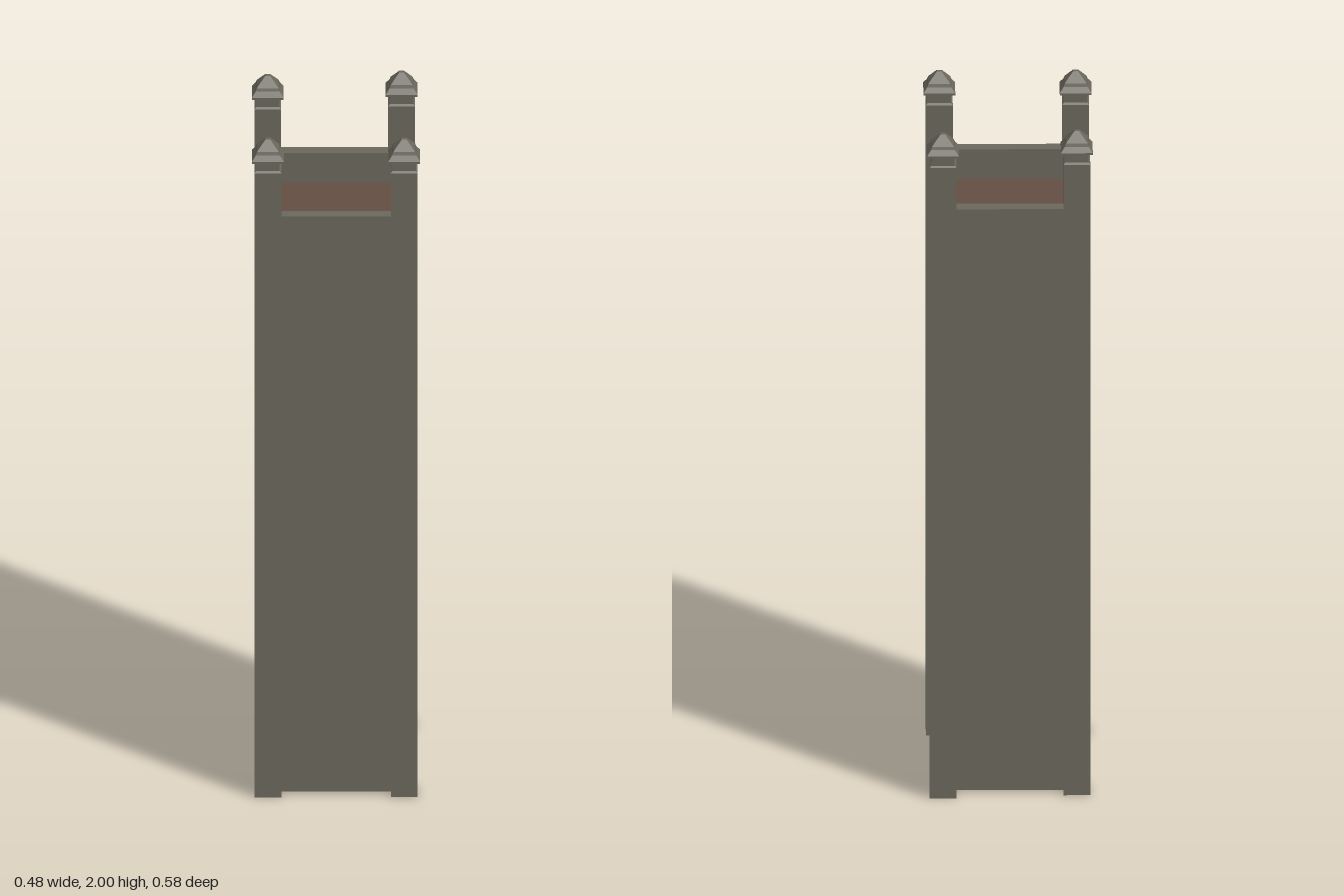
import * as THREE from 'three';

export function createModel() {
  const model = new THREE.Group();
  const stone = new THREE.MeshStandardMaterial({ color: 0x6a675c, flatShading: true });
  stone.name = 'stone';
  const clay = new THREE.MeshStandardMaterial({ color: 0x634d42 });
  clay.name = 'brown floor';

  // Box given by its minimum and maximum corners
  const slab = (name, [x0, y0, z0], [x1, y1, z1], material = stone) => {
    const mesh = new THREE.Mesh(new THREE.BoxGeometry(x1 - x0, y1 - y0, z1 - z0), material);
    mesh.position.set((x0 + x1) / 2, (y0 + y1) / 2, (z0 + z1) / 2);
    mesh.name = name;
    model.add(mesh);
  };

  // Tower body, with the parapet open on the right-hand (-x) side
  slab('towerCore', [-0.21, 0.01, -0.21], [0.2, 1.675, 0.23]);
  slab('roofFloor', [-0.21, 1.675, -0.21], [0.16, 1.68, 0.23], clay);
  slab('frontWall', [-0.17, 0.01, 0.221], [0.17, 1.77, 0.263]);
  slab('backWall', [-0.17, 0.01, -0.245], [0.17, 1.77, -0.201]);
  slab('leftParapet', [0.155, 1.675, -0.21], [0.198, 1.77, 0.23]);

  // Square corner post: half width and height of each step
  const profile = [
    [0, 0], [0.038, 0], [0.038, 1.91], [0.033, 1.915], [0.033, 1.94], [0.045, 1.942],
    [0.045, 1.948], [0.034, 1.963], [0.031, 1.972], [0.007, 2], [0, 2],
  ].map(([half, y]) => new THREE.Vector2(half * Math.SQRT2, y));
  const postGeometry = new THREE.LatheGeometry(profile, 4, Math.PI / 4);

  const posts = [
    ['frontRightPost', -0.193, 0.243], ['frontLeftPost', 0.192, 0.243],
    ['backRightPost', -0.193, -0.223], ['backLeftPost', 0.185, -0.246],
  ];
  for (const [name, x, z] of posts) {
    const post = new THREE.Mesh(postGeometry, stone);
    post.name = name;
    post.position.set(x, 0, z);
    model.add(post);
  }
  return model;
}
